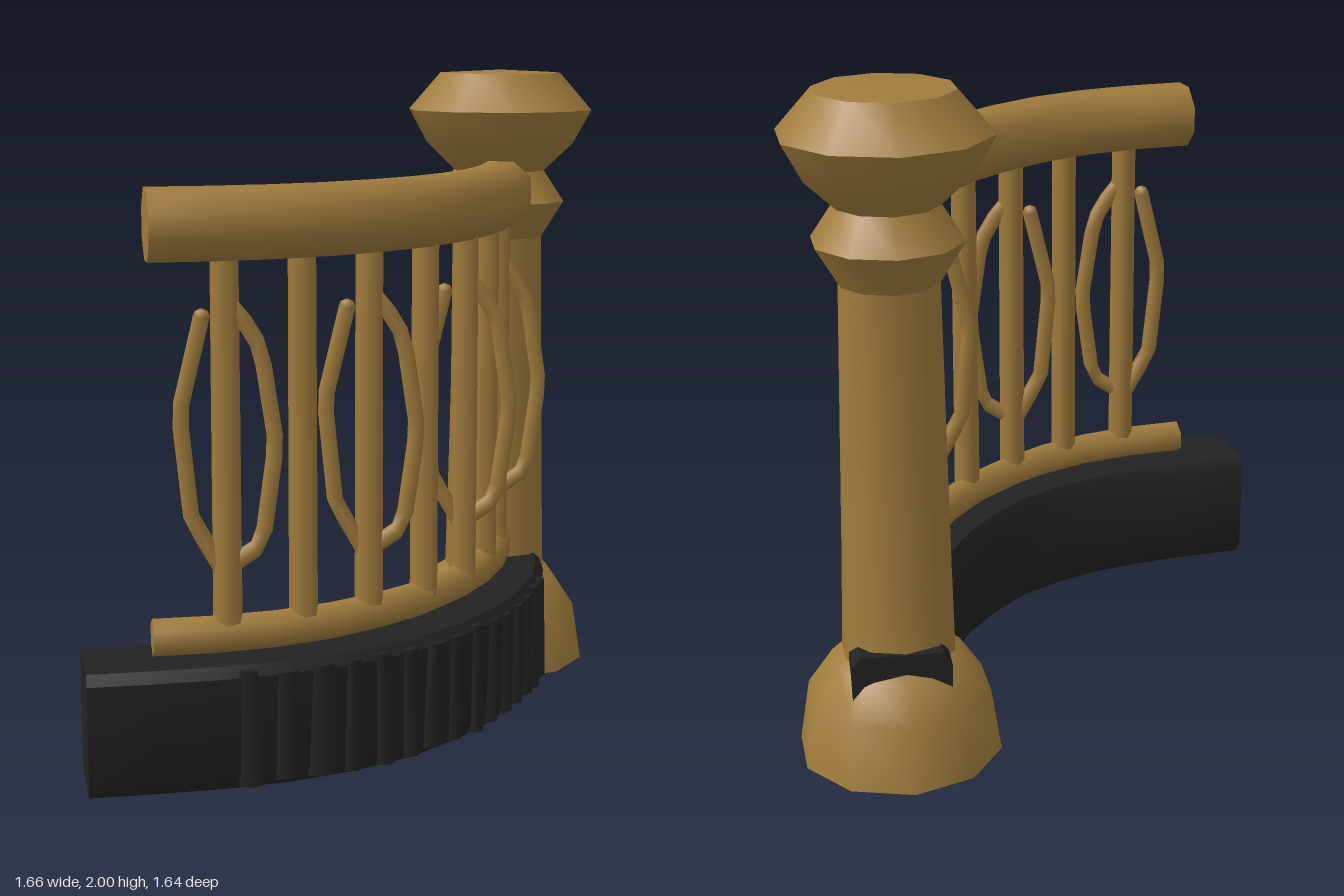
import * as THREE from 'three';
import { toCreasedNormals } from 'three/addons/utils/BufferGeometryUtils.js';

const wood = new THREE.MeshStandardMaterial({ color: 0xa17c3d });
wood.name = 'golden wood';
const stone = new THREE.MeshStandardMaterial({ color: 0x222222 });
stone.name = 'dark stone';

function add(group, name, geometry, material) {
  const mesh = new THREE.Mesh(geometry, material);
  mesh.name = name;
  group.add(mesh);
  return mesh;
}

const flatCurve = points => new THREE.CatmullRomCurve3(points.map(([x, z]) => new THREE.Vector3(x, 0, z)));

// Point and outward (convex side) direction on a ground curve
function frame(curve, u) {
  const t = curve.getTangentAt(u);
  return { p: curve.getPointAt(u), n: new THREE.Vector3(-t.z, 0, t.x) };
}

// Sweeps a convex [outward, height] profile along a ground curve, with end caps
function sweep(curve, profile, steps, crease) {
  const pos = [], index = [], k = profile.length;
  for (let i = 0; i <= steps; i++) {
    const { p, n } = frame(curve, i / steps);
    for (const [a, y] of profile) pos.push(p.x + n.x * a, y, p.z + n.z * a);
  }
  for (let i = 0; i < steps; i++) {
    for (let j = 0; j < k; j++) {
      const a = i * k + j, b = i * k + (j + 1) % k;
      index.push(a, a + k, b + k, a, b + k, b);
    }
  }
  const end = steps * k;
  for (let j = 1; j < k - 1; j++) index.push(0, j, j + 1, end, end + j + 1, end + j);
  const g = new THREE.BufferGeometry();
  g.setAttribute('position', new THREE.Float32BufferAttribute(pos, 3));
  g.setIndex(index);
  return toCreasedNormals(g, crease);
}

const ring = (r, y, sides) => Array.from({ length: sides }, (_, i) => {
  const a = (i + 0.5) / sides * Math.PI * 2, s = r / Math.cos(Math.PI / sides);
  return [Math.cos(a) * s, y + Math.sin(a) * s];
});

function lathe(points, sides) {
  return toCreasedNormals(new THREE.LatheGeometry(points.map(([r, y]) => new THREE.Vector2(r, y)), sides), 0.75);
}

export function createModel() {
  const model = new THREE.Group();
  model.name = 'curvedRailing';

  // Curved curb
  const curbPath = flatCurve([[-0.82, 0.672], [-0.45, 0.635], [-0.2, 0.575], [0.03, 0.465], [0.19, 0.33],
    [0.33, 0.16], [0.44, -0.04], [0.51, -0.23], [0.54, -0.45], [0.55, -0.69]]);
  add(model, 'curb', sweep(curbPath, [[-0.12, 0.02], [0.12, 0.02], [0.145, 0.06], [0.145, 0.35],
    [0.12, 0.38], [-0.12, 0.38], [-0.145, 0.34], [-0.145, 0.06]], 12, 0.6), stone);

  // Uneven slabs on the outer face of the curb
  let seed = 7;
  const random = () => (seed = (seed * 16807) % 2147483647) / 2147483647;
  const slabs = new THREE.Group();
  slabs.name = 'curbSlabs';
  model.add(slabs);
  for (let i = 0; i < 15; i++) {
    const { p, n } = frame(curbPath, 0.2 + i * 0.04 + random() * 0.012);
    const g = new THREE.CylinderGeometry(0.03, 0.04, 0.3 + random() * 0.04, 5);
    g.scale(0.8 + random() * 0.4, 1, 0.6);
    const slab = add(slabs, 'slab', g, stone);
    slab.position.copy(p).addScaledVector(n, 0.138).setY(0.2);
    slab.rotation.set(0, Math.atan2(n.x, n.z) + (random() - 0.5) * 0.5, (random() - 0.5) * 0.08);
  }

  // Handrail and bottom rail
  const railPath = flatCurve([[-0.625, 0.655], [-0.41, 0.632], [-0.19, 0.57], [0.01, 0.457], [0.19, 0.31],
    [0.33, 0.13], [0.43, -0.06], [0.5, -0.27], [0.54, -0.48]]);
  add(model, 'handrail', sweep(railPath, ring(0.1, 1.61, 8), 10, 0.9), wood);
  add(model, 'bottomRail', sweep(railPath, ring(0.048, 0.44, 6), 10, 1.1), wood);

  // Balusters, every other one with a pair of bowed side rods
  const bows = {
    rightBow: [[-0.065, 1.35], [-0.13, 1.08], [-0.1, 0.78], [-0.01, 0.62]],
    leftBow: [[0.01, 1.39], [0.04, 1.36], [0.1, 1.26], [0.14, 0.99], [0.1, 0.7], [0.025, 0.65]],
  };
  const spots = [[-0.41, 0.63], [-0.19, 0.565], [0.01, 0.46], [0.19, 0.32], [0.335, 0.135], [0.43, -0.06], [0.5, -0.275]];
  spots.forEach(([x, z], i) => {
    const baluster = new THREE.Group();
    baluster.name = 'baluster' + (i + 1);
    baluster.position.set(x, 0, z);
    model.add(baluster);
    add(baluster, 'bar', new THREE.CylinderGeometry(0.041, 0.043, 1.09, 7), wood).position.y = 0.995;
    if (i % 2) return;
    for (const [name, points] of Object.entries(bows)) {
      const path = new THREE.CurvePath();
      for (let j = 1; j < points.length; j++) {
        path.add(new THREE.LineCurve3(new THREE.Vector3(...points[j - 1], 0), new THREE.Vector3(...points[j], 0)));
      }
      add(baluster, name, new THREE.TubeGeometry(path, 12, 0.026, 6), wood);
      // Closed rod ends
      for (const [ex, ey] of [points[0], points[points.length - 1]]) {
        add(baluster, name + 'End', new THREE.SphereGeometry(0.025, 6, 4), wood).position.set(ex, ey, 0);
      }
    }
  });

  // Newel post
  const post = new THREE.Group();
  post.name = 'newelPost';
  post.position.set(0.538, 0, -0.517);
  model.add(post);
  add(post, 'postBase', lathe([[0, 0], [0.305, 0], [0.275, 0.19], [0.2, 0.3], [0.13, 0.345], [0, 0.35]], 10), wood);
  add(post, 'postShaft', lathe([[0.17, 0.3], [0.162, 0.6], [0.145, 1.45]], 10), wood);
  add(post, 'postCollar', lathe([[0.145, 1.45], [0.218, 1.57], [0.145, 1.68]], 10), wood);
  add(post, 'postKnob', lathe([[0, 1.67], [0.15, 1.67], [0.245, 1.76], [0.305, 1.87], [0.2, 1.99], [0, 2]], 10), wood);
  return model;
}
